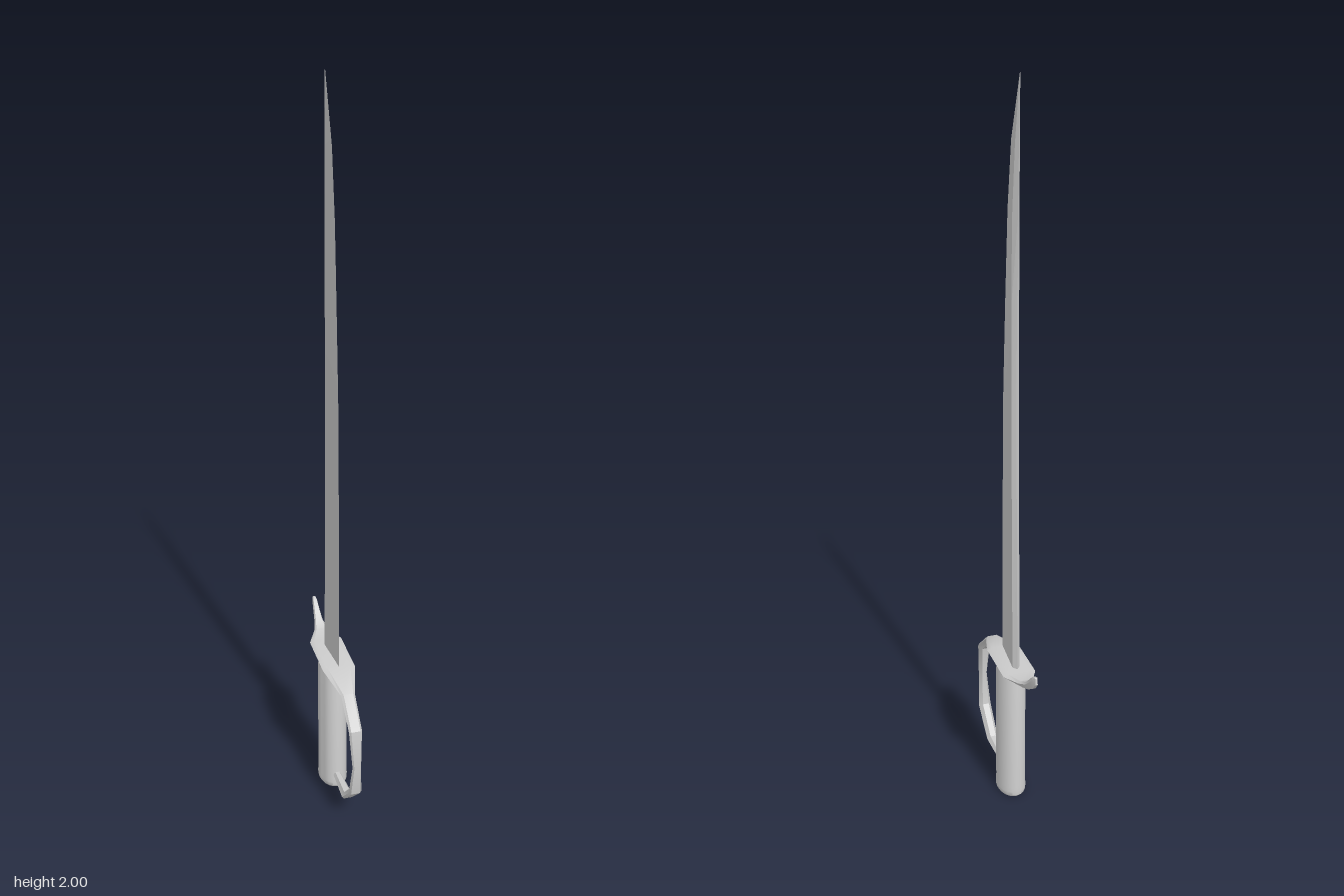
import * as THREE from 'three';
import { toCreasedNormals } from 'three/addons/utils/BufferGeometryUtils.js';

const material = new THREE.MeshStandardMaterial({ color: 0xcccccc });

// Skins a list of equal-length rings (counter-clockwise seen from the far end) and caps both ends
function loft(rings, crease) {
  const n = rings[0].length;
  const last = (rings.length - 1) * n;
  const index = [];
  for (let i = 0; i < rings.length - 1; i++) {
    for (let j = 0; j < n; j++) {
      const a = i * n + j, b = i * n + (j + 1) % n;
      index.push(a, b, b + n, a, b + n, a + n);
    }
  }
  for (let j = 1; j < n - 1; j++) {
    index.push(0, j + 1, j, last, last + j, last + j + 1);
  }
  const geometry = new THREE.BufferGeometry();
  geometry.setAttribute('position', new THREE.Float32BufferAttribute(rings.flat(2), 3));
  geometry.setIndex(index);
  return toCreasedNormals(geometry, crease);
}

function addPart(group, name, geometry) {
  const mesh = new THREE.Mesh(geometry, material);
  mesh.name = name;
  group.add(mesh);
  return mesh;
}

// Kite-section blade: height, cutting edge z, ridge z, back z, half thickness
function bladeGeometry() {
  const stations = [
    [0.41, 0.04, -0.07, -0.082, 0.01],
    [0.8, 0.04, -0.063, -0.073, 0.01],
    [1.2, 0.032, -0.058, -0.067, 0.01],
    [1.45, 0.016, -0.056, -0.068, 0.01],
    [1.67, 0, -0.058, -0.073, 0.009],
    [1.84, -0.025, -0.068, -0.078, 0.006],
    [2.0, -0.083, -0.084, -0.085, 0.0005],
  ];
  return loft(stations.map(([y, edge, ridge, back, t]) => [
    [0, y, edge], [t, y, ridge], [0, y, back], [-t, y, ridge],
  ]), 0.15);
}

// Guard and knuckle bow as one swept strip: z, y, half width, half thickness
function guardGeometry() {
  const stations = [
    [-0.222, 0.493, 0.004, 0.003],
    [-0.217, 0.482, 0.007, 0.012],
    [-0.2, 0.462, 0.009, 0.013],
    [-0.175, 0.441, 0.012, 0.01],
    [-0.145, 0.427, 0.02, 0.009],
    [-0.097, 0.422, 0.045, 0.009],
    [0.04, 0.422, 0.045, 0.009],
    [0.13, 0.398, 0.019, 0.009],
    [0.2, 0.332, 0.018, 0.01],
    [0.215, 0.225, 0.012, 0.01],
    [0.2, 0.13, 0.018, 0.01],
    [0.13, 0.057, 0.016, 0.009],
    [0.02, 0.048, 0.011, 0.006],
  ];
  const section = [[1, 0.4], [0.7, 1], [-0.7, 1], [-1, 0.4], [-0.5, -1], [0.5, -1]];
  return loft(stations.map(([z, y, w, t], i) => {
    const p = stations[Math.max(i - 1, 0)];
    const q = stations[Math.min(i + 1, stations.length - 1)];
    const length = Math.hypot(q[0] - p[0], q[1] - p[1]);
    const dz = (q[0] - p[0]) / length, dy = (q[1] - p[1]) / length;
    return section.map(([u, v]) => [u * w, y + v * t * dz, z - v * t * dy]);
  }), 0.5);
}

// Oval grip with a softened pommel end and a narrower collar
function gripGeometry() {
  const profile = [
    [0, 0.003], [0.049, 0.003], [0.055, 0.01], [0.056, 0.022], [0.054, 0.035],
    [0.054, 0.39], [0.05, 0.405], [0.048, 0.418], [0, 0.418],
  ].map(([r, y]) => new THREE.Vector2(r, y));
  const geometry = new THREE.LatheGeometry(profile, 20);
  geometry.scale(0.72, 1, 1).translate(0, -0.003, -0.026);
  return toCreasedNormals(geometry, 0.6);
}

export function createModel() {
  const group = new THREE.Group();
  group.name = 'sabre';
  addPart(group, 'blade', bladeGeometry());
  addPart(group, 'guardAndKnuckleBow', guardGeometry());
  addPart(group, 'grip', gripGeometry());
  return group;
}
